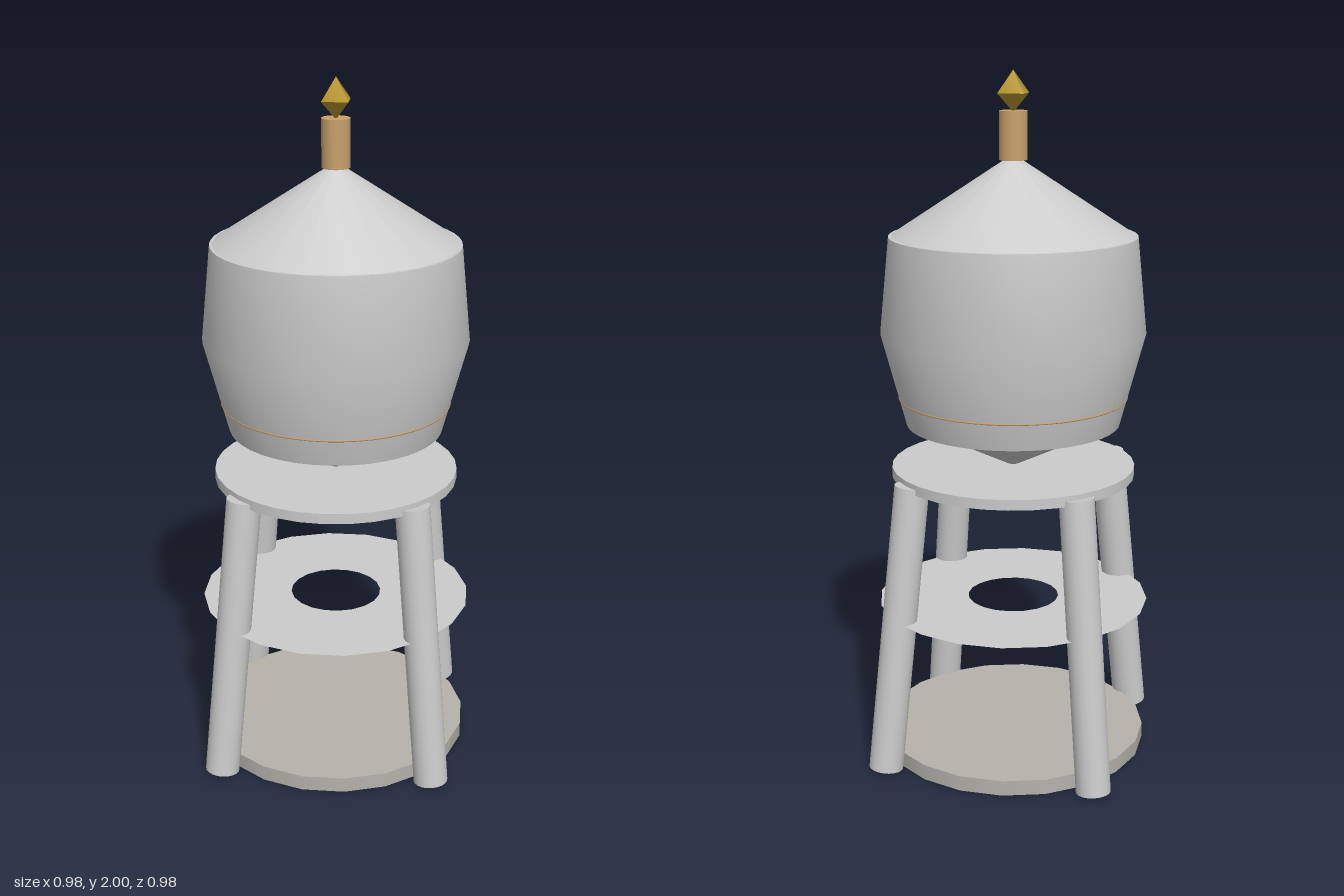
import * as THREE from 'three';

const paint = (color) => new THREE.MeshStandardMaterial({ color });

export function createModel() {
  const model = new THREE.Group();
  const grey = paint(0xcccccc);
  const greyOpen = new THREE.MeshStandardMaterial({ color: 0xcccccc, side: THREE.DoubleSide });
  const stone = paint(0xb5b2ac);
  const tan = paint(0xc8a06a);
  const gold = paint(0xb8962e);

  const add = (name, geometry, material, y = 0) => {
    const mesh = new THREE.Mesh(geometry, material);
    mesh.name = name;
    mesh.position.y = y;
    model.add(mesh);
    return mesh;
  };
  // upright cylinder or cone between two heights
  const drum = (name, rTop, rBottom, y0, y1, sides, material) =>
    add(name, new THREE.CylinderGeometry(rTop, rBottom, y1 - y0, sides), material, (y0 + y1) / 2);

  // stand: base disc, flat ring shelf and top disc
  drum('baseDisc', 0.395, 0.395, 0.005, 0.05, 20, stone);
  const shelf = add('ringShelf', new THREE.RingGeometry(0.135, 0.4, 20), greyOpen, 0.46);
  shelf.rotation.x = -Math.PI / 2;
  drum('standTop', 0.355, 0.355, 0.845, 0.875, 32, grey);

  // four splayed legs
  const foot = new THREE.Vector3(0.438, 0.008, 0);
  const head = new THREE.Vector3(0.336, 0.858, 0);
  const axis = head.clone().sub(foot);
  for (let i = 0; i < 4; i++) {
    const pivot = new THREE.Group();
    pivot.name = 'leg' + (i + 1);
    const leg = new THREE.Mesh(new THREE.CylinderGeometry(0.05, 0.05, axis.length(), 20), grey);
    leg.name = 'legPost';
    leg.position.copy(foot).add(head).multiplyScalar(0.5);
    leg.quaternion.setFromUnitVectors(new THREE.Vector3(0, 1, 0), axis.clone().normalize());
    pivot.add(leg);
    pivot.rotation.y = (i * Math.PI) / 2;
    model.add(pivot);
  }

  // tank: funnel, barrel wall with closed ends, hoop and roof
  drum('funnel', 0.265, 0, 0.866, 1.0, 32, grey);
  const wall = [[0.31, 1.0], [0.381, 1.27], [0.353, 1.545]].map(([r, y]) => new THREE.Vector2(r, y));
  add('tankWall', new THREE.LatheGeometry(wall, 48), greyOpen);
  const floor = add('tankFloor', new THREE.CircleGeometry(0.31, 48), grey, 1.0);
  floor.rotation.x = Math.PI / 2;
  const lid = add('tankLid', new THREE.CircleGeometry(0.353, 48), grey, 1.545);
  lid.rotation.x = -Math.PI / 2;
  const hoop = add('hoop', new THREE.TorusGeometry(0.33, 0.003, 6, 48), tan, 1.08);
  hoop.rotation.x = Math.PI / 2;
  drum('roof', 0, 0.347, 1.545, 1.772, 20, grey);

  // chimney and diamond finial
  drum('chimney', 0.04, 0.04, 1.755, 1.89, 20, tan);
  drum('finialTop', 0, 0.052, 1.937, 2.0, 4, gold);
  drum('finialBottom', 0.052, 0, 1.885, 1.937, 4, gold);

  return model;
}
